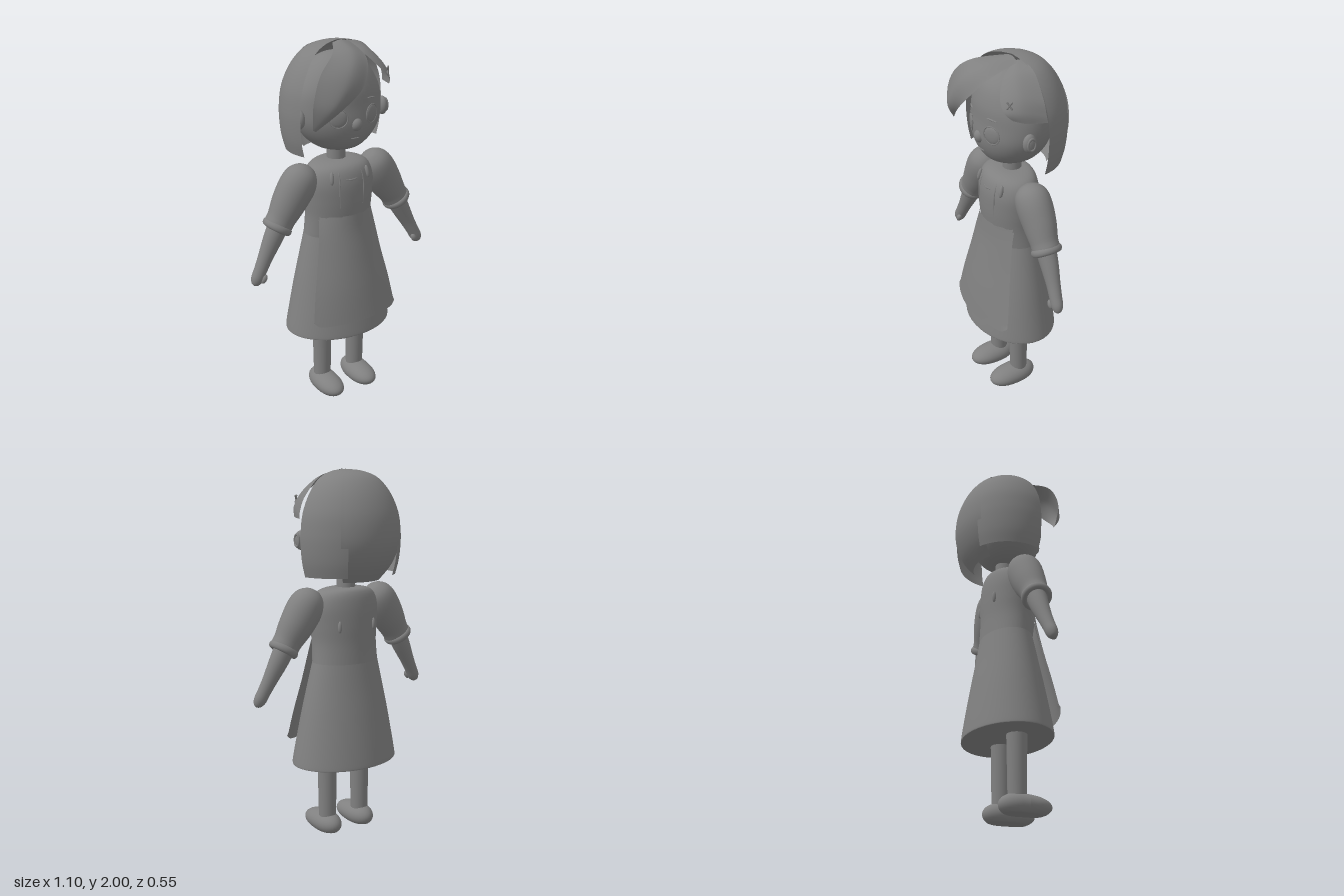
import * as THREE from 'three';

const material = new THREE.MeshStandardMaterial({ color: 0x808080, side: THREE.DoubleSide });
material.name = 'plain grey';

function add(parent, name, geometry, pos = [0, 0, 0], rot = [0, 0, 0], scale = [1, 1, 1]) {
  const mesh = new THREE.Mesh(geometry, material);
  mesh.name = name;
  mesh.position.set(...pos);
  mesh.rotation.set(...rot);
  mesh.scale.set(...scale);
  parent.add(mesh);
  return mesh;
}

// Smooth grid surface: fn(u, v) gives [x, y, z]; v runs downward, u to the right
function surface(nu, nv, fn, closed = false) {
  const pos = [], index = [], cols = closed ? nu : nu + 1;
  for (let i = 0; i <= nv; i++) for (let j = 0; j < cols; j++) pos.push(...fn(j / nu, i / nv));
  for (let i = 0; i < nv; i++) for (let j = 0; j < nu; j++) {
    const a = i * cols + j, b = i * cols + (j + 1) % cols;
    index.push(a, a + cols, b + cols, a, b + cols, b);
  }
  const g = new THREE.BufferGeometry();
  g.setAttribute('position', new THREE.Float32BufferAttribute(pos, 3));
  g.setIndex(index);
  g.computeVertexNormals();
  return g;
}

// Smooth interpolation through rows of numbers
function blend(rows) {
  const curves = rows[0].map((_, k) => new THREE.SplineCurve(rows.map((r, i) => new THREE.Vector2(i, r[k]))));
  return t => curves.map(c => c.getPoint(t).y);
}

// Elliptical cross-sections, rows of [y, radiusX, radiusZ, centreZ] from top to bottom
function loft(rows, nu = 40) {
  const at = blend(rows);
  return surface(nu, (rows.length - 1) * 5, (u, v) => {
    const [y, rx, rz, cz] = at(v), a = u * Math.PI * 2;
    return [Math.max(rx, 0) * Math.sin(a), y, cz + Math.max(rz, 0) * Math.cos(a)];
  }, true);
}

// Sheet spanned by several long strands, ordered left to right
function strandSheet(strands) {
  const at = strands.map(s => blend(s));
  return surface(16, 28, (u, v) => blend(at.map(f => f(v)))(u));
}

// Section of the hair shell between two angles (degrees from the front toward +x)
function hairPanel(profile, a0, a1, size) {
  const at = blend(profile);
  return surface(20, 36, (u, v) => {
    const [f, y] = at(v), a = THREE.MathUtils.degToRad(a0 + (a1 - a0) * u);
    return [0.303 * size * f * Math.sin(a), y, 0.276 * size * f * Math.cos(a)];
  });
}

function buildHead(g) {
  add(g, 'head', loft([
    [1.95, 0, 0, 0], [1.93, 0.09, 0.08, 0], [1.87, 0.165, 0.15, 0], [1.78, 0.223, 0.185, 0],
    [1.69, 0.243, 0.192, 0], [1.6, 0.235, 0.192, 0.005], [1.52, 0.19, 0.165, 0.01],
    [1.46, 0.115, 0.11, 0.015], [1.43, 0, 0, 0.02]]));
  const ball = new THREE.SphereGeometry(1, 24, 16);
  add(g, 'nose', ball, [0, 1.605, 0.186], [0, 0, 0], [0.032, 0.035, 0.03]);
  add(g, 'mouth', ball, [0, 1.53, 0.178], [0, 0, 0], [0.025, 0.004, 0.006]);
  for (const s of [-1, 1]) {
    add(g, 'eye', ball, [s * 0.1, 1.645, 0.173], [0, s * 0.4, 0], [0.046, 0.046, 0.012]);
    add(g, 'eyeRim', new THREE.TorusGeometry(0.048, 0.003, 6, 32), [s * 0.1, 1.645, 0.177], [0, s * 0.4, 0]);
    add(g, 'eyebrow', ball, [s * 0.1, 1.728, 0.172], [0, s * 0.4, -s * 0.1], [0.035, 0.004, 0.006]);
    add(g, 'ear', ball, [s * 0.252, 1.635, 0.052], [0, 0, 0], [0.026, 0.05, 0.036]);
    add(g, 'earRim', new THREE.TorusGeometry(0.024, 0.006, 8, 24), [s * 0.273, 1.635, 0.052],
      [0, Math.PI / 2, 0], [0.9, 1.3, 1]);
  }
}

function buildHair(g) {
  const crown = [[0, 2.0], [0.3, 1.99], [0.58, 1.955], [0.8, 1.88], [0.95, 1.78], [1, 1.68]];
  const side = [...crown, [1, 1.6], [0.97, 1.52], [0.91, 1.45]];
  const back = [...crown, [0.97, 1.59], [0.84, 1.5], [0.62, 1.42]];
  add(g, 'hairSideRight', hairPanel(side, -146, -67, 1));
  add(g, 'hairSideLeft', hairPanel(side, 96, 150, 1));
  add(g, 'hairBack', hairPanel(back, 143, 219, 1.02));
  // Large sweeping fringe standing off the forehead
  add(g, 'fringeSweep', strandSheet([
    [[-0.03, 1.99, 0.01], [-0.12, 1.965, 0.15], [-0.22, 1.88, 0.2], [-0.27, 1.75, 0.22], [-0.262, 1.62, 0.2]],
    [[0.02, 2.0, 0.01], [-0.01, 1.965, 0.165], [-0.08, 1.88, 0.25], [-0.18, 1.73, 0.265], [-0.255, 1.615, 0.2]],
    [[0.075, 1.985, 0.01], [0.07, 1.93, 0.17], [0, 1.82, 0.255], [-0.11, 1.72, 0.25], [-0.245, 1.61, 0.2]]]));
  // Smaller fringe lying on the temple
  add(g, 'fringeSide', strandSheet([
    [[0.05, 1.985, 0.01], [0.095, 1.94, 0.1], [0.155, 1.87, 0.16], [0.21, 1.81, 0.17], [0.235, 1.77, 0.135]],
    [[0.06, 1.99, 0], [0.14, 1.955, 0.06], [0.22, 1.88, 0.09], [0.26, 1.81, 0.095], [0.272, 1.755, 0.075]],
    [[0.07, 1.99, -0.02], [0.175, 1.962, -0.02], [0.265, 1.86, -0.015], [0.294, 1.79, -0.015], [0.302, 1.75, -0.02]]]));
  // Crossed hair clip
  for (const s of [-1, 1])
    add(g, 'hairClip', new THREE.CapsuleGeometry(0.005, 0.04, 4, 8), [0.218, 1.845, 0.145], [0, 0.8, s * 0.6]);
}

function buildDress(g) {
  add(g, 'neck', new THREE.CylinderGeometry(0.048, 0.052, 0.14, 28), [0, 1.41, -0.003]);
  add(g, 'bodice', loft([
    [1.38, 0, 0, 0], [1.378, 0.1, 0.08, 0], [1.35, 0.17, 0.122, 0.012], [1.28, 0.2, 0.142, 0.018],
    [1.18, 0.197, 0.146, 0.018], [1.08, 0.19, 0.142, 0.015], [0.97, 0.196, 0.136, 0.005]]));
  add(g, 'skirt', loft([
    [1.0, 0.19, 0.132, 0.005], [0.85, 0.225, 0.158, 0.008], [0.7, 0.258, 0.186, 0.01],
    [0.55, 0.287, 0.212, 0.012], [0.43, 0.309, 0.23, 0.013], [0.41, 0.31, 0.23, 0.013]]));
  add(g, 'skirtUnderside', new THREE.CircleGeometry(1, 48), [0, 0.41, 0.013], [Math.PI / 2, 0, 0], [0.31, 0.23, 1]);

  // Apron panel, rows of [y, half width, middle z, edge z]
  const at = blend([[1.1, 0.162, 0.172, 0.09], [1.0, 0.175, 0.182, 0.115], [0.85, 0.2, 0.208, 0.142],
    [0.68, 0.235, 0.238, 0.172], [0.51, 0.262, 0.262, 0.2]]);
  const apron = back => surface(24, 24, (u, v) => {
    const [y, w, zc, ze] = at(v), k = u * 2 - 1;
    const round = Math.max(0, Math.abs(k) - 0.9) * Math.max(0, v - 0.92) * 3;
    return [w * k, y + round, zc - (zc - ze) * k * k - back];
  });
  add(g, 'apron', apron(0));
  add(g, 'apronLining', apron(0.01));
  // Bib seams and neckline
  const tube = pts => new THREE.TubeGeometry(
    new THREE.CatmullRomCurve3(pts.map(p => new THREE.Vector3(...p))), 20, 0.004, 6);
  for (const s of [-1, 1])
    add(g, 'bibSeam', tube([[s * 0.045, 1.372, 0.075], [s * 0.066, 1.34, 0.127], [s * 0.073, 1.27, 0.151],
      [s * 0.07, 1.15, 0.15]]));
  add(g, 'neckline', tube([[-0.068, 1.305, 0.14], [0, 1.298, 0.156], [0.068, 1.305, 0.14]]));
  // Small oval buttons on chest and back
  const oval = new THREE.SphereGeometry(1, 16, 12);
  for (const s of [-1, 1]) {
    add(g, 'frontButton', oval, [s * 0.11, 1.315, 0.13], [-0.25, 0, s * 0.1], [0.012, 0.034, 0.012]);
    add(g, 'backButton', oval, [s * 0.11, 1.18, -0.105], [0, 0, 0], [0.011, 0.032, 0.012]);
  }
}

function buildArm(s) {
  const arm = new THREE.Group();
  arm.name = s > 0 ? 'leftArm' : 'rightArm';
  // Upper arm is modelled along -y from the shoulder, then swung outward
  const upper = new THREE.Group();
  upper.name = 'upperArm';
  upper.position.set(s * 0.235, 1.3, 0.02);
  upper.rotation.z = s * 0.57;
  add(upper, 'sleeve', loft([[0.088, 0, 0, 0], [0.075, 0.045, 0.045, 0], [0.035, 0.084, 0.082, 0], [-0.03, 0.1, 0.093, 0],
    [-0.13, 0.095, 0.086, 0], [-0.22, 0.079, 0.073, 0.004], [-0.275, 0.07, 0.065, 0.005], [-0.28, 0, 0, 0.005]], 32));
  add(upper, 'cuff', new THREE.TorusGeometry(0.066, 0.016, 12, 36), [0, -0.27, 0.005], [Math.PI / 2, 0, 0], [1, 1, 1.3]);
  arm.add(upper);
  const fore = new THREE.Group();
  fore.name = 'foreArm';
  fore.position.set(s * 0.375, 1.075, 0.025);
  fore.rotation.z = s * 0.5;
  add(fore, 'forearmAndHand', loft([[0.02, 0.058, 0.055, 0], [-0.08, 0.052, 0.047, 0.002], [-0.18, 0.041, 0.037, 0.008],
    [-0.25, 0.036, 0.033, 0.014], [-0.3, 0.034, 0.03, 0.018], [-0.33, 0.02, 0.018, 0.02], [-0.34, 0, 0, 0.02]], 28));
  add(fore, 'thumb', new THREE.SphereGeometry(1, 16, 12), [-s * 0.026, -0.285, 0.04], [0, 0, 0], [0.016, 0.026, 0.016]);
  arm.add(fore);
  return arm;
}

function buildLeg(s) {
  const leg = new THREE.Group();
  leg.name = s > 0 ? 'leftLeg' : 'rightLeg';
  leg.position.x = s * 0.11;
  add(leg, 'shin', new THREE.CylinderGeometry(0.055, 0.048, 0.4, 28), [0, 0.26, 0.022]);
  // Shoe: rounded form, boxier front to back, with a flat sole and lower toe
  const shoe = new THREE.SphereGeometry(1, 32, 24), p = shoe.attributes.position;
  for (let i = 0; i < p.count; i++) {
    const z = p.getZ(i), k = Math.sign(z) * Math.pow(Math.abs(z), 0.8);
    const y = p.getY(i) * (0.06 - 0.008 * k) + 0.044;
    p.setXYZ(i, p.getX(i) * 0.074, Math.max(0, y), 0.065 + k * 0.143);
  }
  shoe.computeVertexNormals();
  add(leg, 'shoe', shoe);
  return leg;
}

export function createModel() {
  const model = new THREE.Group();
  model.name = 'doll';
  buildHead(model);
  buildHair(model);
  buildDress(model);
  for (const s of [-1, 1]) model.add(buildArm(s), buildLeg(s));
  return model;
}
